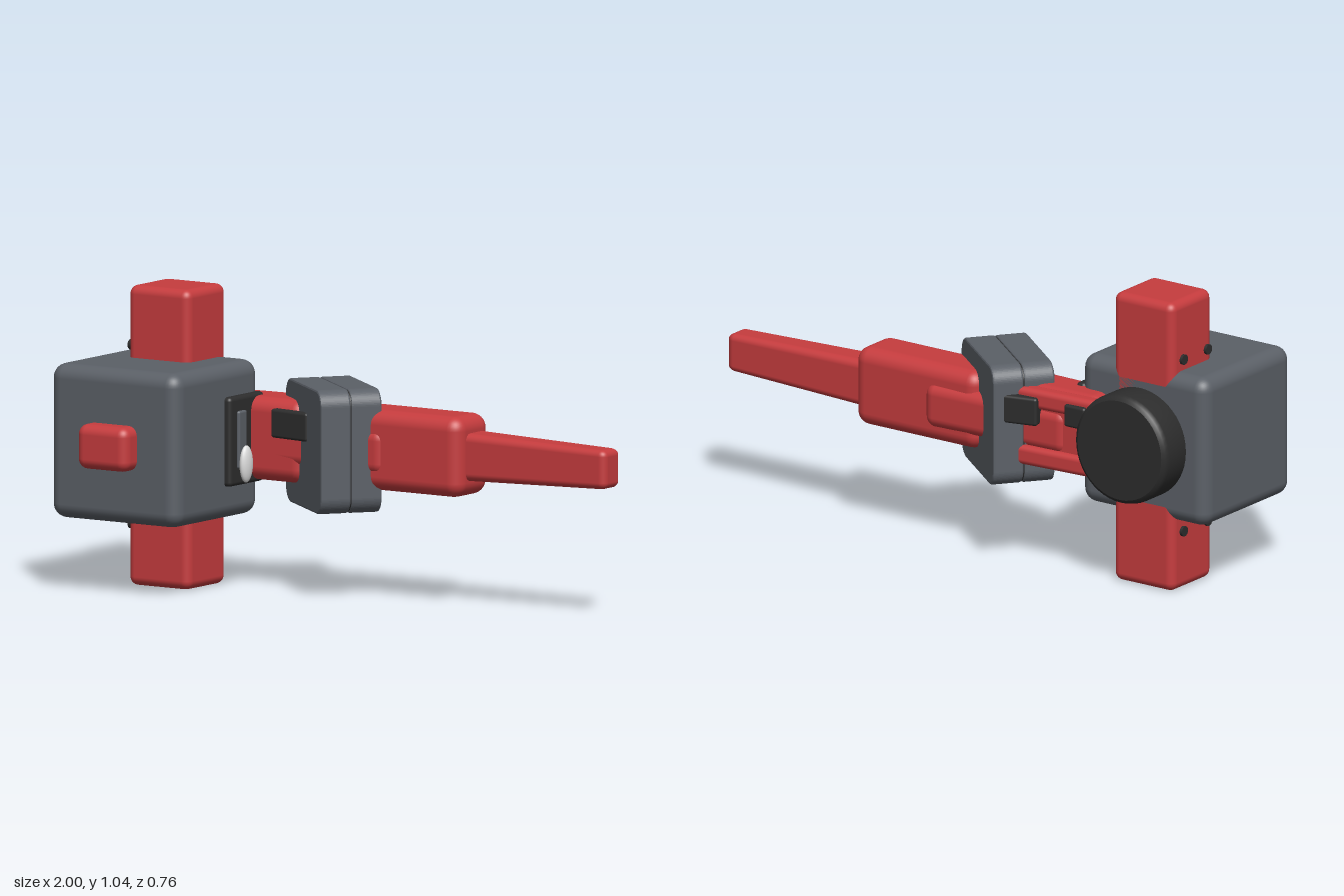
import * as THREE from 'three';
import { RoundedBoxGeometry } from 'three/addons/geometries/RoundedBoxGeometry.js';

const paint = (name, color) => {
  const m = new THREE.MeshStandardMaterial({ color });
  m.name = name;
  return m;
};

export function createModel() {
  const red = paint('red', 0xc63c3e);
  const grey = paint('slate grey', 0x5b6067);
  const black = paint('black', 0x2d2d2d);
  const white = paint('white', 0xdedede);
  const model = new THREE.Group();
  model.name = 'model';

  const add = (name, geo, mat, parent = model) => {
    const mesh = new THREE.Mesh(geo, mat);
    mesh.name = name;
    parent.add(mesh);
    return mesh;
  };

  // Rounded box given by its limits on each axis
  const block = (name, mat, [x0, x1], [y0, y1], [z0, z1], r) => {
    const geo = new RoundedBoxGeometry(x1 - x0, y1 - y0, z1 - z0, 4, r);
    const mesh = add(name, geo, mat);
    mesh.position.set((x0 + x1) / 2, (y0 + y1) / 2, (z0 + z1) / 2);
    return mesh;
  };

  // Shrinks the cross-section of a block towards one end of x
  const taper = (mesh, sy, sz, towards = 1) => {
    const p = mesh.geometry.attributes.position;
    mesh.geometry.computeBoundingBox();
    const { min, max } = mesh.geometry.boundingBox;
    for (let i = 0; i < p.count; i++) {
      const u = (p.getX(i) - min.x) / (max.x - min.x);
      const t = towards > 0 ? u : 1 - u;
      p.setY(i, p.getY(i) * (1 + (sy - 1) * t));
      p.setZ(i, p.getZ(i) * (1 + (sz - 1) * t));
    }
    return mesh;
  };

  // Head: cube, crossing bar, front knob
  block('headCube', grey, [-1, -0.465], [0.255, 0.79], [-0.2, 0.31], 0.05);
  block('crossBar', red, [-0.86, -0.605], [0, 1.04], [-0.2, 0.035], 0.03);
  block('frontKnob', red, [-0.84, -0.63], [0.445, 0.6], [0.2, 0.38], 0.035);

  // Screws on the outer face of the bar
  for (const y of [0.21, 0.83]) for (const z of [-0.14, 0]) {
    const s = add('screw', new THREE.CylinderGeometry(0.018, 0.018, 0.02, 16), black);
    s.rotation.z = Math.PI / 2;
    s.position.set(-0.86, y, z);
  }

  // Round back cap with soft rim
  const profile = [[0, -0.01], [0.18, -0.01], [0.195, 0.01], [0.195, 0.105],
    [0.19, 0.122], [0.178, 0.13], [0.178, 0.13], [0, 0.13]];
  const cap = add('backCap', new THREE.LatheGeometry(
    profile.map(([r, y]) => new THREE.Vector2(r, y)), 48), black);
  cap.rotation.x = -Math.PI / 2;
  cap.position.set(-0.73, 0.525, -0.2);

  // Socket plate and lever on the arm side of the cube
  block('socketPlate', black, [-0.48, -0.44], [0.37, 0.68], [-0.19, 0.02], 0.015);
  block('socketPanel', grey, [-0.45, -0.43], [0.43, 0.63], [-0.07, -0.02], 0.008);
  const lever = add('lever', new THREE.SphereGeometry(1, 20, 14), white);
  lever.scale.set(0.018, 0.065, 0.032);
  lever.position.set(-0.422, 0.445, -0.05);

  // Arm: shoulder, neck, forearm and tapered handle
  taper(block('shoulder', red, [-0.6, -0.22], [0.38, 0.67], [-0.29, -0.1], 0.05), 1, 0.9, -1);
  taper(block('neck', red, [-0.47, 0.12], [0.44, 0.6], [-0.315, -0.085], 0.04), 1, 0.8, -1);
  for (const y of [0.42, 0.63]) {
    const strut = block('strut', red, [-0.6, -0.15], [y - 0.035, y + 0.035], [-0.31, -0.25], 0.02);
    strut.rotation.y = 0.06;
  }
  block('forearm', red, [-0.1, 0.43], [0.385, 0.665], [-0.295, -0.095], 0.05);
  taper(block('handle', red, [0.38, 1], [0.44, 0.608], [-0.265, -0.14], 0.028), 0.8, 0.78);

  // Clips joining shoulder and collar
  const clipFront = block('frontClip', black, [-0.34, -0.17], [0.54, 0.64], [-0.1, -0.065], 0.01);
  clipFront.rotation.y = -0.15;
  const clipBack = block('backClip', black, [-0.37, -0.22], [0.54, 0.64], [-0.345, -0.29], 0.01);
  clipBack.rotation.y = 0.25;
  block('capClip', black, [-0.57, -0.48], [0.56, 0.64], [-0.315, -0.28], 0.01);

  // Slanted collar made of two bevelled halves
  const collar = new THREE.Group();
  collar.name = 'collar';
  collar.position.set(-0.14, 0.52, -0.17);
  collar.rotation.y = -0.67;
  model.add(collar);
  const plate = (w, h, r, depth, bevel) => {
    const a = w / 2 - bevel, b = h / 2 - bevel, s = new THREE.Shape();
    s.absarc(a - r, b - r, r, 0, Math.PI / 2);
    s.absarc(r - a, b - r, r, Math.PI / 2, Math.PI);
    s.absarc(r - a, r - b, r, Math.PI, Math.PI * 1.5);
    s.absarc(a - r, r - b, r, Math.PI * 1.5, Math.PI * 2);
    const geo = new THREE.ExtrudeGeometry(s, {
      depth: depth - 2 * bevel, bevelEnabled: true, bevelSize: bevel,
      bevelThickness: bevel, bevelSegments: 2, curveSegments: 8 });
    return geo.translate(0, 0, bevel - depth / 2);
  };
  for (const side of [-1, 1]) {
    add('collarHalf', plate(0.415, 0.43, 0.05, 0.109, 0.007), grey, collar).position.z = side * 0.0555;
  }
  add('collarSeam', plate(0.405, 0.42, 0.05, 0.02, 0.002), black, collar);

  return model;
}
